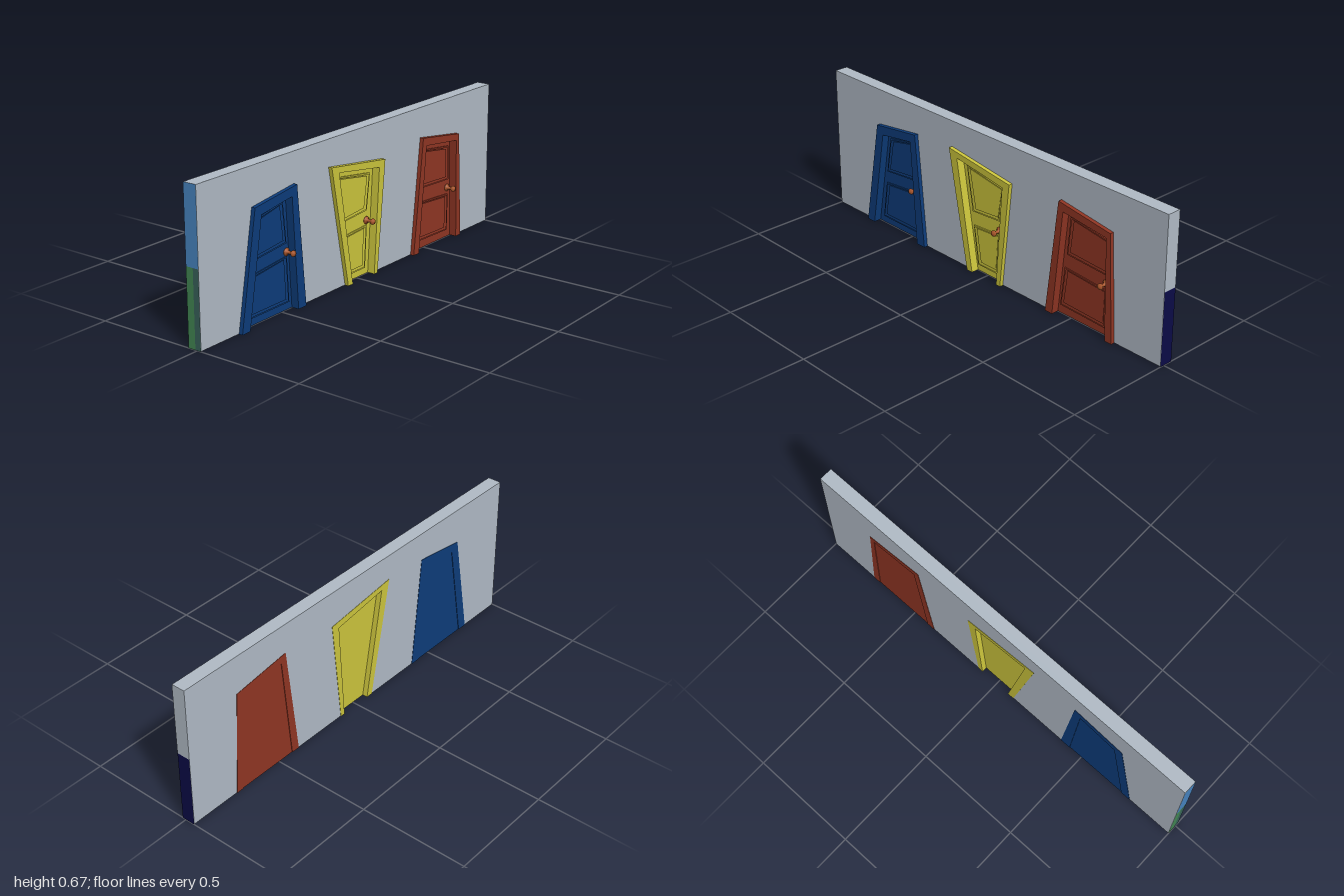
import * as THREE from 'three';

const mat = (name, color) => {
  const m = new THREE.MeshStandardMaterial({ color });
  m.name = name;
  return m;
};

// Corner order for outlines, as [z, y]: bottom +z, top +z, top -z, bottom -z
const DOORS = [
  { name: 'blueDoor', color: 0x0d3c7a, back: -0.044, knob: [0.465, 0.25],
    outer: [[0.78, 0], [0.69, 0.5], [0.433, 0.533], [0.383, 0]],
    inner: [[0.733, 0], [0.652, 0.463], [0.465, 0.49], [0.433, 0]],
    panels: [
      [[0.665, 0.27], [0.637, 0.442], [0.487, 0.468], [0.468, 0.288]],
      [[0.7, 0.032], [0.672, 0.212], [0.466, 0.232], [0.455, 0.032]]] },
  { name: 'yellowDoor', color: 0xcbc43c, back: -0.022, knob: [-0.07, 0.243],
    outer: [[0.1, 0], [0.209, 0.548], [-0.16, 0.5], [-0.107, 0]],
    inner: [[0.068, 0], [0.16, 0.515], [-0.118, 0.473], [-0.084, 0]],
    panels: [
      [[0.095, 0.276], [0.13, 0.482], [-0.092, 0.451], [-0.07, 0.288]],
      [[0.062, 0.03], [0.088, 0.212], [-0.07, 0.222], [-0.058, 0.03]]] },
  { name: 'redDoor', color: 0x8f3523, back: -0.044, knob: [-0.685, 0.238],
    outer: [[-0.38, 0], [-0.444, 0.53], [-0.727, 0.49], [-0.754, 0]],
    inner: [[-0.42, 0], [-0.47, 0.49], [-0.706, 0.463], [-0.717, 0]],
    panels: [
      [[-0.468, 0.286], [-0.485, 0.462], [-0.688, 0.436], [-0.694, 0.276]],
      [[-0.437, 0.04], [-0.458, 0.222], [-0.69, 0.208], [-0.686, 0.034]]] },
];

const WALL = { back: -0.045, front: 0.018, top: 0.667, split: -0.01, half: 0.334 };

const toPoints = (pts) => pts.map(([z, y]) => new THREE.Vector2(-z, y));

// Extrudes a [z, y] outline along x from x0 to x1
function slab(name, pts, x0, x1, material, hole) {
  const shape = new THREE.Shape(toPoints(pts));
  if (hole) shape.holes.push(new THREE.Path(toPoints(hole)));
  const geo = new THREE.ExtrudeGeometry(shape, { depth: x1 - x0, bevelEnabled: false });
  geo.rotateY(Math.PI / 2).translate(x0, 0, 0);
  const mesh = new THREE.Mesh(geo, material);
  mesh.name = name;
  return mesh;
}

// Moves each corner of an outline inward by a fixed amount in z and y
function inset(pts, d) {
  const cz = pts.reduce((s, p) => s + p[0], 0) / 4;
  const cy = pts.reduce((s, p) => s + p[1], 0) / 4;
  return pts.map(([z, y]) => [z - d * Math.sign(z - cz), y - d * Math.sign(y - cy)]);
}

function buildDoor(d, copper) {
  const door = new THREE.Group();
  door.name = d.name;
  const paint = mat(d.name + 'Paint', d.color);

  // frame: an upside-down U open at the floor
  const frame = [...d.outer, ...[...d.inner].reverse()];
  door.add(slab('frame', frame, -0.0465, 0.036, paint));

  // leaf with sunken panels edged by raised mouldings
  door.add(slab('leafCore', d.inner, d.back, -0.006, paint));
  const face = new THREE.Shape(toPoints(d.inner));
  d.panels.forEach((p) => face.holes.push(new THREE.Path(toPoints(p))));
  const rails = new THREE.Mesh(
    new THREE.ExtrudeGeometry(face, { depth: 0.006, bevelEnabled: false }), paint);
  rails.geometry.rotateY(Math.PI / 2).translate(-0.006, 0, 0);
  rails.name = 'stilesAndRails';
  door.add(rails);
  d.panels.forEach((p) => {
    door.add(slab('moulding', p, -0.006, 0.005, paint, inset(p, 0.007)));
    door.add(slab('panel', inset(p, 0.013), -0.006, 0, paint));
  });

  // knob: rosette, neck and rounded grip
  const profile = [[0, 0], [0.017, 0], [0.017, 0.004], [0.008, 0.009], [0.006, 0.026],
    [0.011, 0.031], [0.014, 0.037], [0.011, 0.044], [0, 0.047]];
  const geo = new THREE.LatheGeometry(profile.map(([r, h]) => new THREE.Vector2(r, h)), 16);
  geo.rotateZ(-Math.PI / 2);
  const knob = new THREE.Mesh(geo, copper);
  knob.name = 'knob';
  knob.position.set(0, d.knob[1], d.knob[0]);
  door.add(knob);
  return door;
}

export function createModel() {
  const model = new THREE.Group();
  model.name = 'wallWithDoors';
  const grey = mat('wallGrey', 0xb0bac5);
  const sky = mat('endBlue', 0x4682bd);
  const green = mat('endGreen', 0x418452);
  const teal = mat('endTeal', 0x376058);
  const navy = mat('endNavy', 0x0b0b46);
  const plum = mat('basePlum', 0x8c1c62);
  const copper = mat('copper', 0xa8552a);

  // wall outline with a notch for each door
  const base = 0.001;
  const outline = [[0.999, base], [0.999, WALL.top], [-0.999, WALL.top], [-0.999, base]];
  [...DOORS].reverse().forEach((d) => {
    const o = d.outer;
    outline.push([o[3][0], base], o[2], o[1], [o[0][0], base]);
  });
  model.add(slab('wall', outline, WALL.back, WALL.front, grey));

  // coloured end faces
  const endFace = (name, side, x0, x1, y0, y1, material) => {
    const m = new THREE.Mesh(new THREE.PlaneGeometry(x1 - x0, y1 - y0), material);
    m.name = name;
    m.position.set((x0 + x1) / 2, (y0 + y1) / 2, side);
    if (side < 0) m.rotation.y = Math.PI;
    model.add(m);
  };
  const { back, front, top, split, half } = WALL;
  endFace('frontEndUpper', 1, back, front, half, top, sky);
  endFace('frontEndLower', 1, back, split, 0, half, green);
  endFace('frontEndLowerStrip', 1, split, front, 0, half, teal);
  endFace('backEndUpper', -1, back, front, half, top, grey);
  endFace('backEndLower', -1, back, front, 0, half, navy);

  // underside strips between the doors
  const stops = [1, ...DOORS.flatMap((d) => [d.outer[0][0], d.outer[3][0]]), -1];
  for (let i = 0; i < stops.length; i += 2) {
    const [z1, z0] = [stops[i], stops[i + 1]];
    [[back, split, plum], [split, front, copper]].forEach(([x0, x1, material]) => {
      const m = new THREE.Mesh(new THREE.PlaneGeometry(x1 - x0, z1 - z0), material);
      m.name = 'underside';
      m.rotation.x = Math.PI / 2;
      m.position.set((x0 + x1) / 2, 0, (z0 + z1) / 2);
      model.add(m);
    });
  }

  DOORS.forEach((d) => model.add(buildDoor(d, copper)));
  return model;
}
